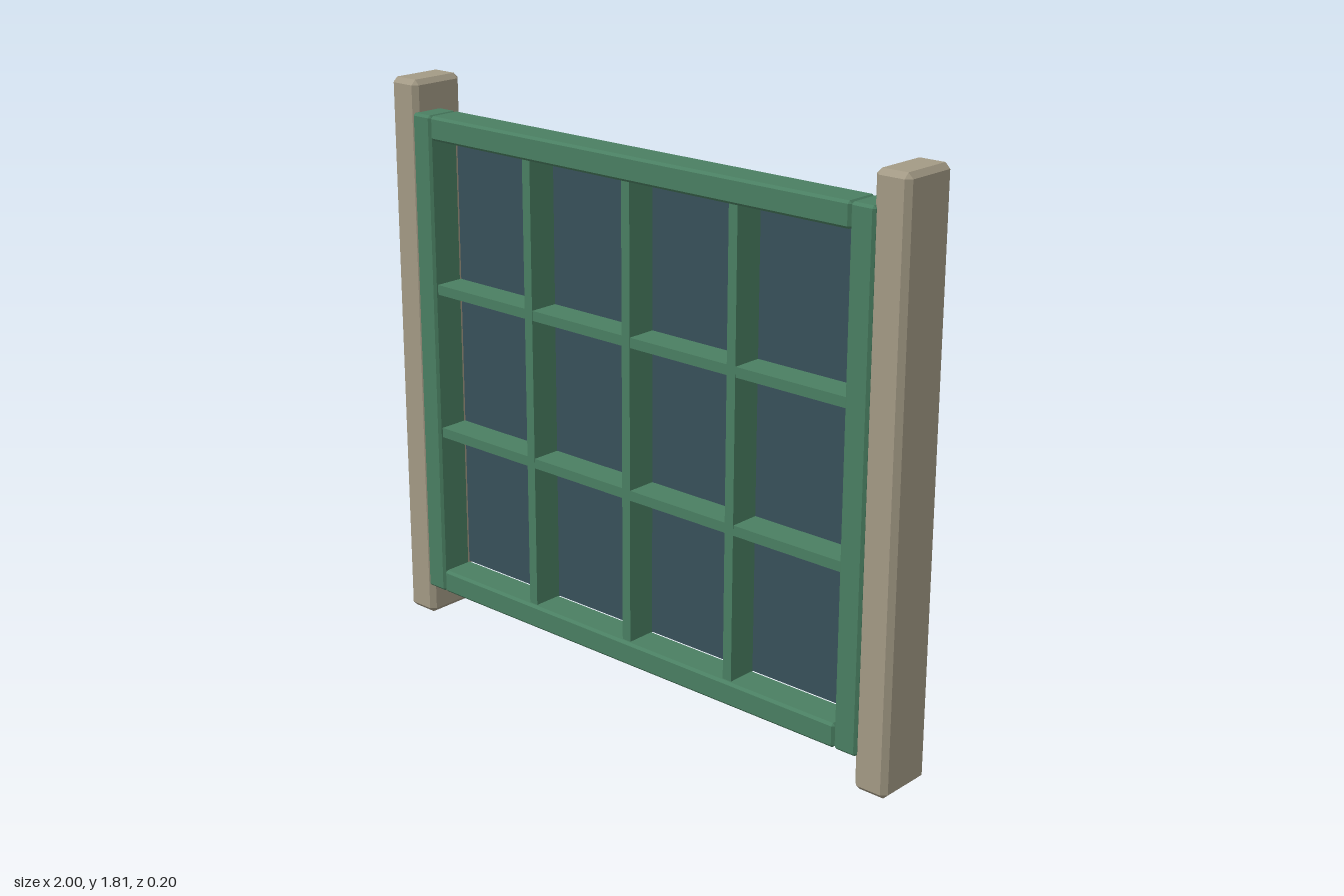
import * as THREE from 'three';
import { ConvexGeometry } from 'three/addons/geometries/ConvexGeometry.js';

const wood = new THREE.MeshStandardMaterial({ color: 0xa39a85, flatShading: true });
const green = new THREE.MeshStandardMaterial({ color: 0x4a7f62, flatShading: true });
const slate = new THREE.MeshStandardMaterial({ color: 0x38505a, flatShading: true });

// Box with every edge cut at 45 degrees, c = size of the cut
function chamferBox(w, h, d, c) {
  const points = [];
  for (const sx of [-1, 1]) for (const sy of [-1, 1]) for (const sz of [-1, 1]) {
    for (let axis = 0; axis < 3; axis++) {
      const cut = [c, c, c];
      cut[axis] = 0;
      points.push(new THREE.Vector3(sx * (w / 2 - cut[0]), sy * (h / 2 - cut[1]), sz * (d / 2 - cut[2])));
    }
  }
  return new ConvexGeometry(points);
}

export function createModel() {
  const group = new THREE.Group();

  // Adds a block given by its limits on each axis
  function block(name, material, [x0, x1], [y0, y1], [z0, z1], chamfer = 0) {
    const size = [x1 - x0, y1 - y0, z1 - z0];
    const geometry = chamfer ? chamferBox(...size, chamfer) : new THREE.BoxGeometry(...size);
    const mesh = new THREE.Mesh(geometry, material);
    mesh.name = name;
    mesh.position.set((x0 + x1) / 2, (y0 + y1) / 2, (z0 + z1) / 2);
    group.add(mesh);
  }

  const frameZ = [-0.015, 0.1];
  const barZ = [-0.015, 0.088];

  // Posts and upright frame members on both sides
  for (const side of [-1, 1]) {
    const label = side > 0 ? 'left' : 'right';
    const span = (a, b) => (side > 0 ? [a, b] : [-b, -a]);
    block(label + 'Post', wood, span(0.885, 1), [0, 1.81], [-0.1, 0.095], 0.016);
    block(label + 'Stile', green, span(0.817, 0.897), [0.105, 1.71], frameZ, 0.008);
  }

  // Top and bottom frame members
  block('topRail', green, [-0.817, 0.817], [1.633, 1.71], frameZ, 0.008);
  block('bottomRail', green, [-0.817, 0.817], [0.105, 0.182], frameZ, 0.008);

  // Back panel
  block('panel', slate, [-0.815, 0.815], [0.182, 1.633], [-0.03, -0.012]);

  // Grid bars
  for (const i of [-1, 0, 1]) {
    const x = i * 0.407;
    block('verticalBar', green, [x - 0.016, x + 0.016], [0.18, 1.635], barZ);
  }
  for (const y of [0.666, 1.149]) {
    block('horizontalBar', green, [-0.817, 0.817], [y - 0.016, y + 0.016], [-0.015, 0.087]);
  }

  return group;
}
